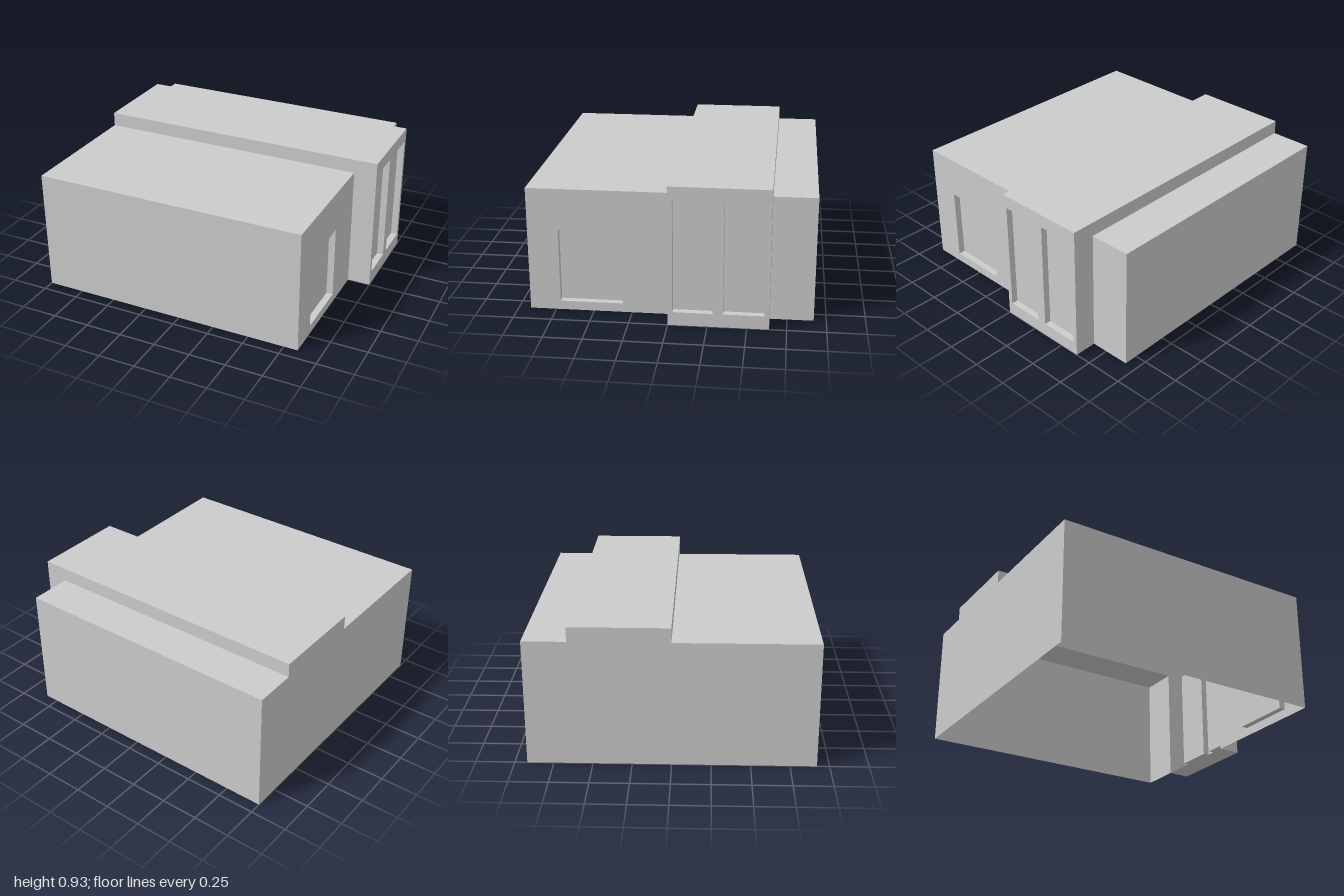
import * as THREE from 'three';

const H = 0.83, TOP = 0.925, D = 0.92;      // wall height, bay height, half depth
const LEFT = -1, WALL = 0.845, BAY = 1;     // x of the end walls and of the bay face
const BAY_BACK = -0.64, RECESS = 0.045;

const material = new THREE.MeshStandardMaterial({ color: 0xcccccc, side: THREE.DoubleSide, flatShading: true });

function add(group, name, geometry) {
  const mesh = new THREE.Mesh(geometry, material);
  mesh.name = name;
  group.add(mesh);
}

// Sweeps a [z, y] profile along x from x0 to x1
function strip(profile, x0, x1) {
  const positions = [], index = [];
  for (let i = 0; i < profile.length - 1; i++) {
    const [za, ya] = profile[i], [zb, yb] = profile[i + 1], n = i * 4;
    positions.push(x0, ya, za, x1, ya, za, x1, yb, zb, x0, yb, zb);
    index.push(n, n + 1, n + 2, n, n + 2, n + 3);
  }
  const g = new THREE.BufferGeometry();
  g.setAttribute('position', new THREE.Float32BufferAttribute(positions, 3));
  g.setIndex(index);
  g.computeVertexNormals();
  return g;
}

// Corners of a rectangle in [z, y], seen from the +x side
const rect = (z0, z1, y0, y1) => [[z1, y0], [z0, y0], [z0, y1], [z1, y1]];

// Flat panel across x, facing +x (side = 1) or -x (side = -1), with rectangular holes
function panel(points, x, side, holes = []) {
  const to2d = (pts) => pts.map(([z, y]) => new THREE.Vector2(-side * z, y));
  const shape = new THREE.Shape(to2d(points));
  for (const h of holes) shape.holes.push(new THREE.Path(to2d(h)));
  return new THREE.ShapeGeometry(shape).rotateY(side * Math.PI / 2).translate(x, 0, 0);
}

// Recessed opening: four reveals and a pane
function addRecess(group, name, r, x) {
  add(group, name + 'Reveal', strip([...r, r[0]], x - RECESS, x));
  add(group, name + 'Pane', panel(r, x - RECESS, 1));
}

export function createModel() {
  const house = new THREE.Group();
  house.name = 'building';

  // Shell, open underneath, with the raised band across the roof
  const front = [[D, 0], [D, H], [0, H]];
  const band = [[0, H], [0, TOP], [BAY_BACK, TOP], [BAY_BACK, H]];
  const back = [[BAY_BACK, H], [-D, H], [-D, 0]];
  add(house, 'frontWallAndRoof', strip(front, LEFT, WALL));
  add(house, 'raisedRoofBand', strip(band, LEFT, WALL));
  add(house, 'backWallAndRoof', strip(back, LEFT, WALL));
  add(house, 'plainEndWall', panel([...front, ...band.slice(1), ...back.slice(1)], LEFT, -1));

  // End wall either side of the bay
  const smallWindow = rect(0.31, 0.72, 0.06, 0.555);
  add(house, 'windowWall', panel(rect(0, D, 0, H), WALL, 1, [smallWindow]));
  add(house, 'backEndWall', panel(rect(-D, BAY_BACK, 0, H), WALL, 1));
  addRecess(house, 'window', smallWindow, WALL);

  // Projecting bay with two tall recesses
  const bay = new THREE.Group();
  bay.name = 'bay';
  const tall = [rect(-0.285, -0.03, 0.09, 0.835), rect(-0.61, -0.35, 0.09, 0.835)];
  add(bay, 'bayShell', strip([[0, 0], [0, TOP], [BAY_BACK, TOP], [BAY_BACK, 0], [0, 0]], WALL, BAY));
  add(bay, 'bayFace', panel(rect(BAY_BACK, 0, 0, TOP), BAY, 1, tall));
  tall.forEach((r, i) => addRecess(bay, 'tallWindow' + (i + 1), r, BAY));
  house.add(bay);

  return house;
}
